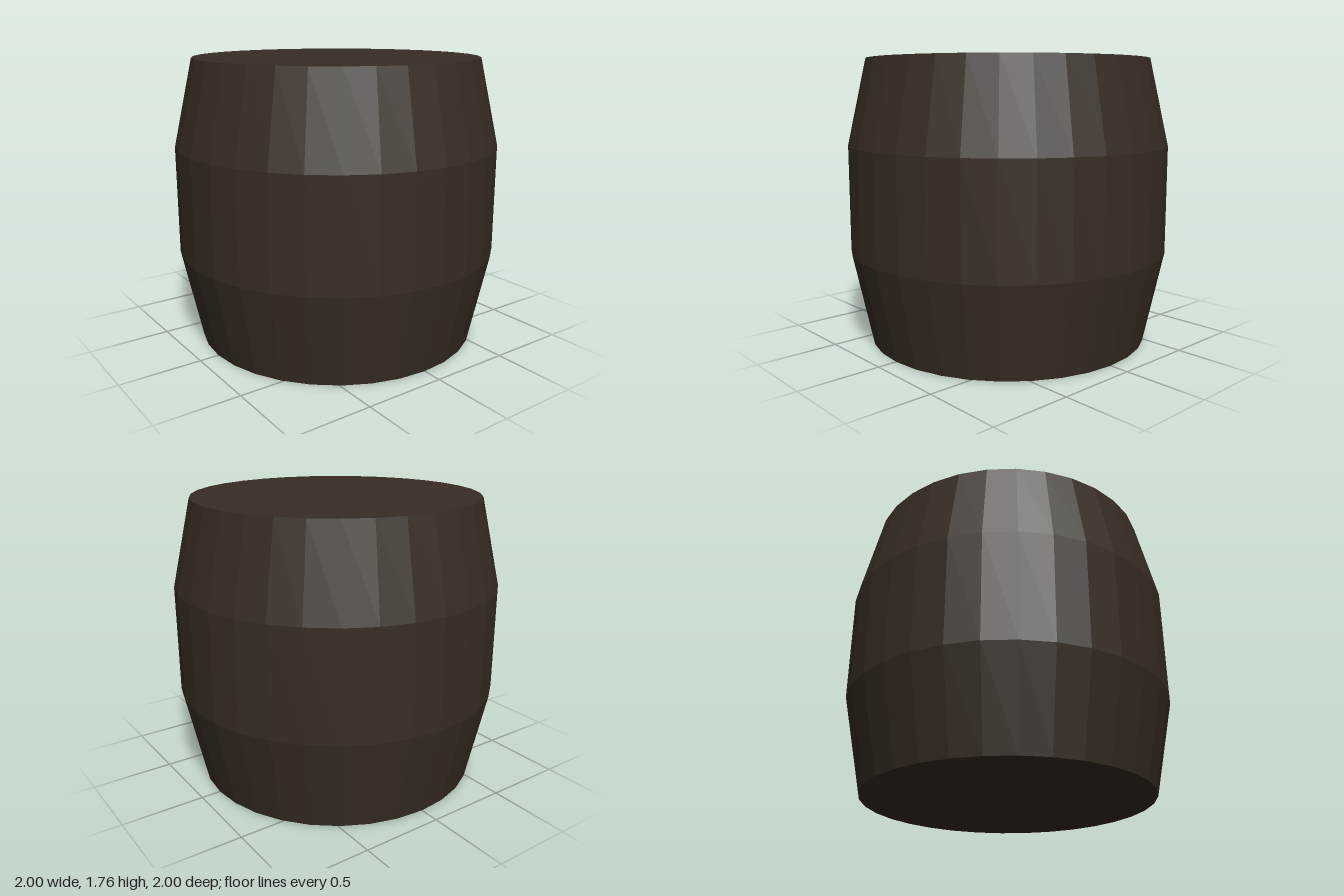
import * as THREE from 'three';

const SIDES = 32;
const HEIGHT = 1.76;
const END_RADIUS = 0.88;

export function createModel() {
  const group = new THREE.Group();
  group.name = 'barrel';

  const wood = new THREE.MeshStandardMaterial({ color: 0x372d23, flatShading: true });
  wood.name = 'dark wood';

  // Faceted wall: tapered foot, straight belly, tapered shoulder
  const profile = [
    [END_RADIUS, 0],
    [1, 0.57],
    [1, 1.23],
    [END_RADIUS, HEIGHT],
  ].map(([r, y]) => new THREE.Vector2(r, y));
  const wall = new THREE.Mesh(new THREE.LatheGeometry(profile, SIDES), wood);
  wall.name = 'barrelWall';
  group.add(wall);

  // Flat ends
  const addEnd = (name, y, tilt) => {
    const end = new THREE.Mesh(new THREE.CircleGeometry(END_RADIUS, SIDES), wood);
    end.name = name;
    end.rotation.x = tilt;
    end.position.y = y;
    group.add(end);
  };
  addEnd('lid', HEIGHT, -Math.PI / 2);
  addEnd('base', 0, Math.PI / 2);

  return group;
}
